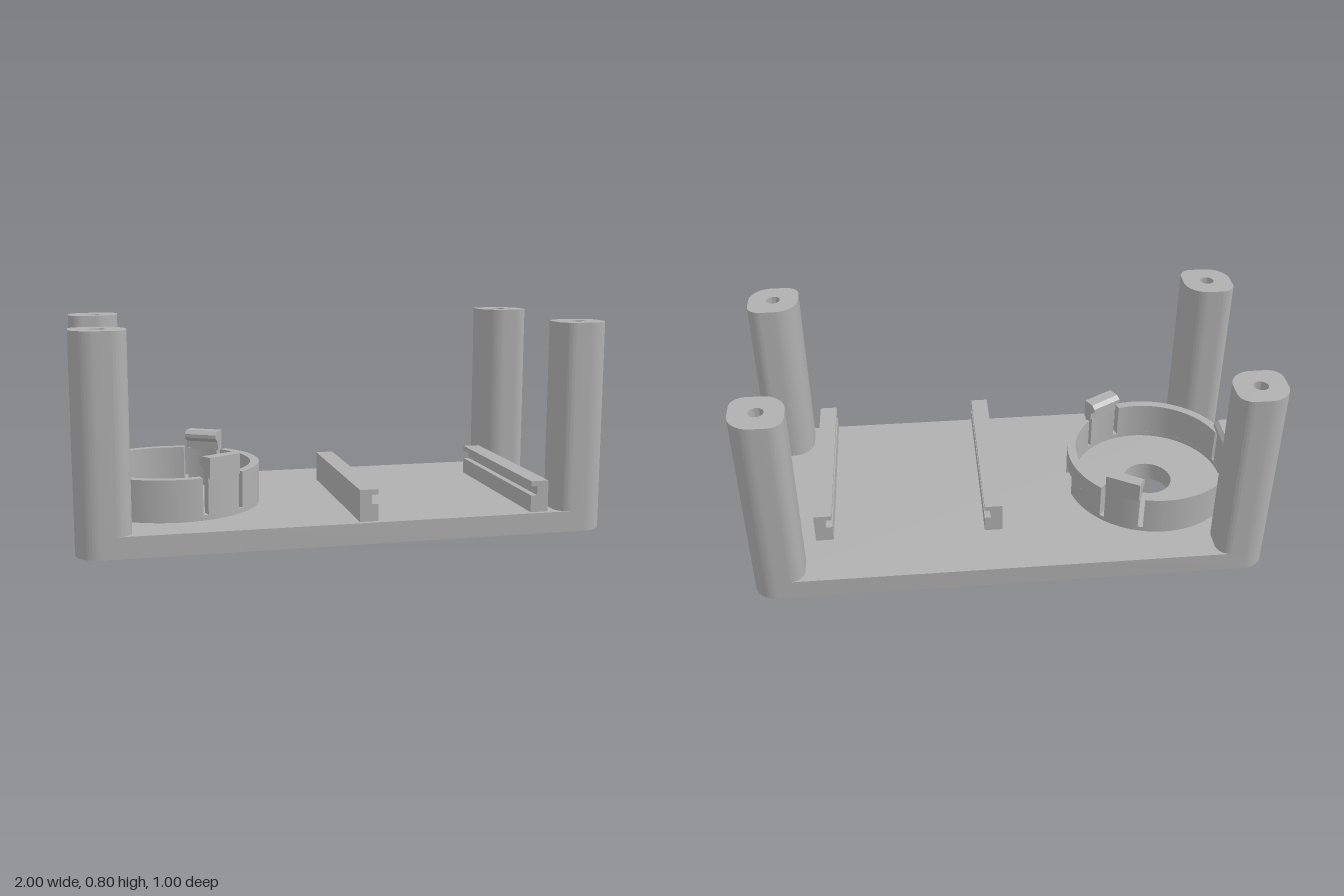
import * as THREE from 'three';
import { toCreasedNormals } from 'three/addons/utils/BufferGeometryUtils.js';

const PLATE = 0.08;          // top of the base plate
const RX = -0.62;            // centre of the round holder
const R_IN = 0.31, R_OUT = 0.345;
const rad = THREE.MathUtils.degToRad;

// Rectangle with its own radius per corner: [-x-y, +x-y, +x+y, -x+y]
function roundedRect(w, h, [a, b, c, d]) {
  const x = w / 2, y = h / 2, s = new THREE.Shape();
  s.absarc(-x + a, -y + a, a, Math.PI, Math.PI * 1.5);
  s.absarc(x - b, -y + b, b, -Math.PI / 2, 0);
  s.absarc(x - c, y - c, c, 0, Math.PI / 2);
  s.absarc(-x + d, y - d, d, Math.PI / 2, Math.PI);
  s.closePath();
  return s;
}

function addHole(shape, x, y, r) {
  const hole = new THREE.Path();
  hole.absarc(x, y, r, 0, Math.PI * 2, true);
  shape.holes.push(hole);
}

const extrude = (shape, depth) =>
  new THREE.ExtrudeGeometry(shape, { depth, bevelEnabled: false, curveSegments: 24 });

// Ground-plan shape raised from y0 to y1
function raise(shape, y0, y1) {
  const g = extrude(shape, y1 - y0).rotateX(-Math.PI / 2).translate(0, y0, 0);
  return toCreasedNormals(g, 0.5);
}

export function createModel() {
  const model = new THREE.Group();
  const grey = new THREE.MeshStandardMaterial({ color: 0xb0b0b0 });
  grey.name = 'grey plastic';

  const add = (name, geometry, parent = model) => {
    const mesh = new THREE.Mesh(geometry, grey);
    mesh.name = name;
    parent.add(mesh);
    return mesh;
  };

  // Base plate with a round opening under the holder
  const plate = roundedRect(2, 1, [0.09, 0.09, 0.09, 0.09]);
  addHole(plate, RX, 0, 0.1);
  add('basePlate', raise(plate, 0, PLATE));

  // Corner posts with screw holes
  for (const sx of [-1, 1]) for (const sz of [-1, 1]) {
    const big = 0.09, small = 0.055;
    const radii = sx * sz < 0 ? [big, small, big, small] : [small, big, small, big];
    const post = roundedRect(0.2, 0.2, radii);
    addHole(post, 0, 0, 0.028);
    add('cornerPost', raise(post, PLATE, 0.8)).position.set(sx * 0.9, 0, sz * 0.4);
  }

  // Round holder: stacked ring arcs leave a cable notch and slots beside the clips
  const holder = new THREE.Group();
  holder.name = 'roundHolder';
  holder.position.x = RX;
  model.add(holder);

  const arc = (name, from, to, y0, y1) => {
    const s = new THREE.Shape();
    s.absarc(0, 0, R_OUT, rad(from), rad(to), false);
    s.absarc(0, 0, R_IN, rad(to), rad(from), true);
    s.closePath();
    add(name, raise(s, y0, y1), holder);
  };
  const NOTCH = 12, CLIP = 12, SLOT = 15.5;
  const slotBase = 0.1, notchTop = 0.165, ringTop = 0.24;

  arc('ringFoot', NOTCH, 360 - NOTCH, PLATE, slotBase);
  arc('ringWall', NOTCH, 60 - SLOT, slotBase, notchTop);
  arc('ringWall', 300 + SLOT, 360 - NOTCH, slotBase, notchTop);
  arc('ringWall', -60 + SLOT, 60 - SLOT, notchTop, ringTop);
  arc('ringWall', 60 + SLOT, 180 - SLOT, slotBase, ringTop);
  arc('ringWall', 180 + SLOT, 300 - SLOT, slotBase, ringTop);

  // Snap clips: curved stem and a flat hooked head
  const hook = new THREE.Shape([
    [0.306, 0.235], [0.347, 0.235], [0.347, 0.315], [0.3, 0.315],
    [0.284, 0.3], [0.284, 0.285], [0.306, 0.268],
  ].map(([x, y]) => new THREE.Vector2(x, y)));
  for (const angle of [60, 180, 300]) {
    arc('clipStem', angle - CLIP, angle + CLIP, slotBase, ringTop);
    const head = extrude(hook, 0.14).translate(0, 0, -0.07);
    add('clipHead', head, holder).rotation.y = rad(angle);
  }

  // Two grooved rails facing each other
  const rail = new THREE.Shape([
    [-0.035, 0.08], [0.035, 0.08], [0.035, 0.145], [0.01, 0.145],
    [0.01, 0.18], [0.035, 0.18], [0.035, 0.2], [-0.035, 0.2],
  ].map(([x, y]) => new THREE.Vector2(x, y)));
  const railGeometry = extrude(rail, 0.75).translate(0, 0, -0.375);
  add('innerRail', railGeometry).position.set(0.06, 0, 0.105);
  const outerRail = add('outerRail', railGeometry);
  outerRail.position.set(0.732, 0, 0.105);
  outerRail.rotation.y = Math.PI;

  return model;
}
